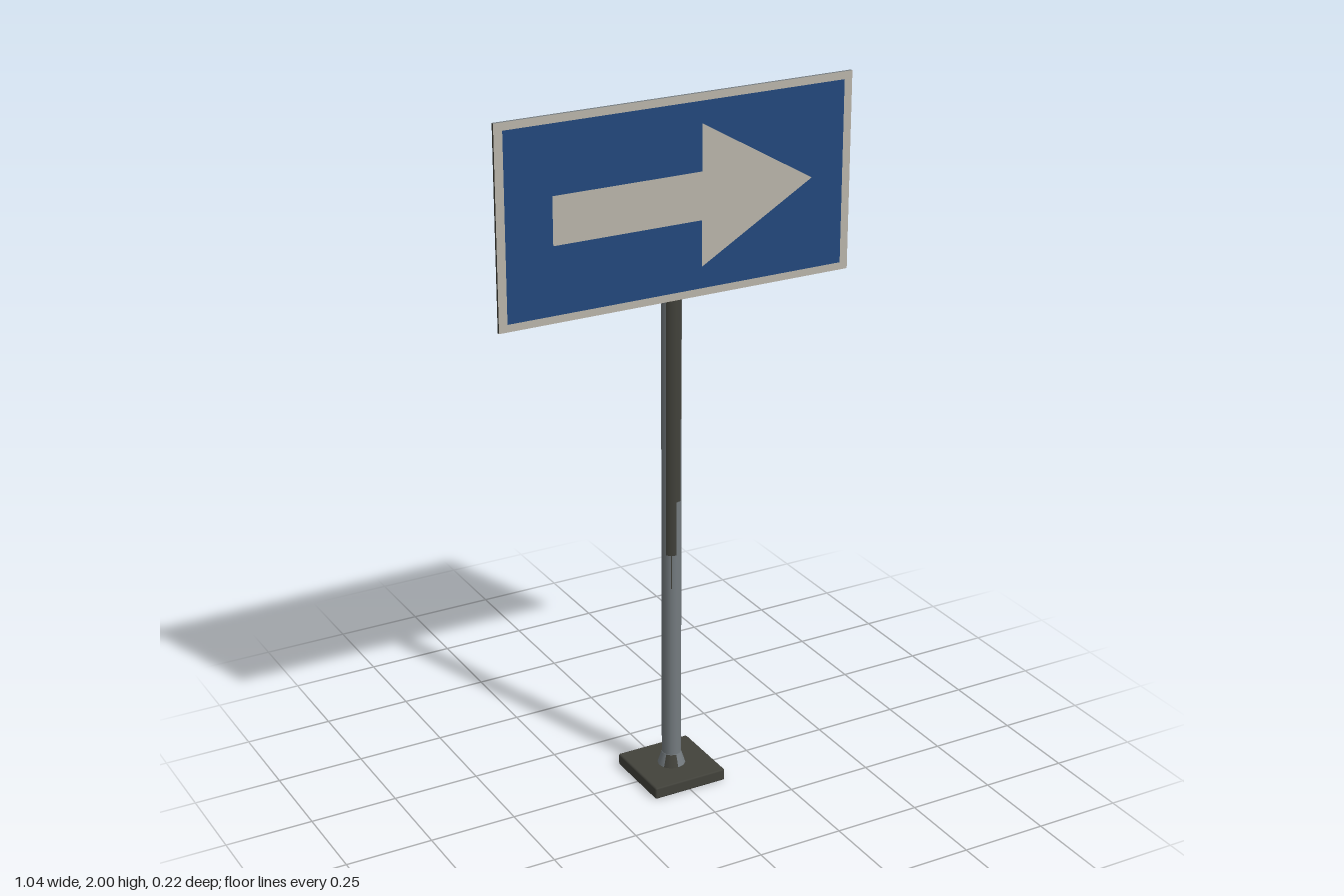
import * as THREE from 'three';
import { RoundedBoxGeometry } from 'three/addons/geometries/RoundedBoxGeometry.js';

const mat = (name, color) => {
  const m = new THREE.MeshStandardMaterial({ color });
  m.name = name;
  return m;
};

const points = (list) => list.map(([x, y]) => new THREE.Vector2(x, y));

export function createModel() {
  const model = new THREE.Group();
  const steel = mat('grey steel', 0x757c80);
  const dark = mat('dark metal', 0x42423b);
  const cream = mat('off white', 0xb9b4a9);
  const blue = mat('sign blue', 0x23487c);

  const add = (name, geometry, material, x = 0, y = 0, z = 0) => {
    const mesh = new THREE.Mesh(geometry, material);
    mesh.name = name;
    mesh.position.set(x, y, z);
    model.add(mesh);
  };

  // Foot plate and flared collar
  add('basePlate', new RoundedBoxGeometry(0.224, 0.035, 0.224, 1, 0.005), dark, 0, 0.0175, 0);
  add('collar', new THREE.CylinderGeometry(0.028, 0.04, 0.037, 12), steel, 0, 0.053, 0);
  const patch = new THREE.CylinderGeometry(0.0288, 0.0408, 0.036, 2, 1, true, -Math.PI / 3, Math.PI / 3);
  add('collarStain', patch, dark, 0, 0.053, 0);

  // Pole with a bevelled top
  const R = 0.0275;
  const profile = points([[0, 0.035], [R, 0.035], [R, 1.905], [0.023, 1.918], [0, 1.918]]);
  add('pole', new THREE.LatheGeometry(profile, 12), steel);

  // Dark streaks down the front of the pole: start angle, width, lower end
  for (const [start, width, low] of [[-60, 30, 0.7], [-30, 30, 0.7], [0, 30, 0.86], [30, 15, 1.1], [-32, 6, 0.6]]) {
    const height = 1.45 - low;
    const strip = new THREE.CylinderGeometry(R + 0.0008, R + 0.0008, height, 1, 1, true,
      THREE.MathUtils.degToRad(start), THREE.MathUtils.degToRad(width));
    add('poleStreak', strip, dark, 0, low + height / 2, 0);
  }

  // Clamps: six-cornered bands around the pole, reaching the panel
  const band = new THREE.Shape(points([[-0.024, 0.034], [-0.038, 0], [-0.03, -0.037],
    [0.03, -0.037], [0.038, 0], [0.024, 0.034]]));
  const clamp = new THREE.ExtrudeGeometry(band, { depth: 0.027, bevelEnabled: false });
  clamp.rotateX(-Math.PI / 2);
  for (const y of [1.556, 1.87]) add('clamp', clamp, dark, 0, y, 0);

  // Panel: white front, steel back and top, dark sides and underside
  const cy = 1.725;
  add('signPanel', new THREE.BoxGeometry(1.044, 0.55, 0.008),
    [dark, dark, steel, dark, cream, steel], 0, cy, 0.037);

  // Painted face and arrow
  add('blueField', new THREE.PlaneGeometry(0.996, 0.508), blue, 0, cy, 0.0418);
  const arrow = new THREE.Shape(points([[-0.365, -0.066], [0.068, -0.066], [0.068, -0.194], [0.402, 0],
    [0.068, 0.194], [0.068, 0.066], [-0.365, 0.066]]));
  add('arrow', new THREE.ShapeGeometry(arrow), cream, 0, cy, 0.0426);

  return model;
}
